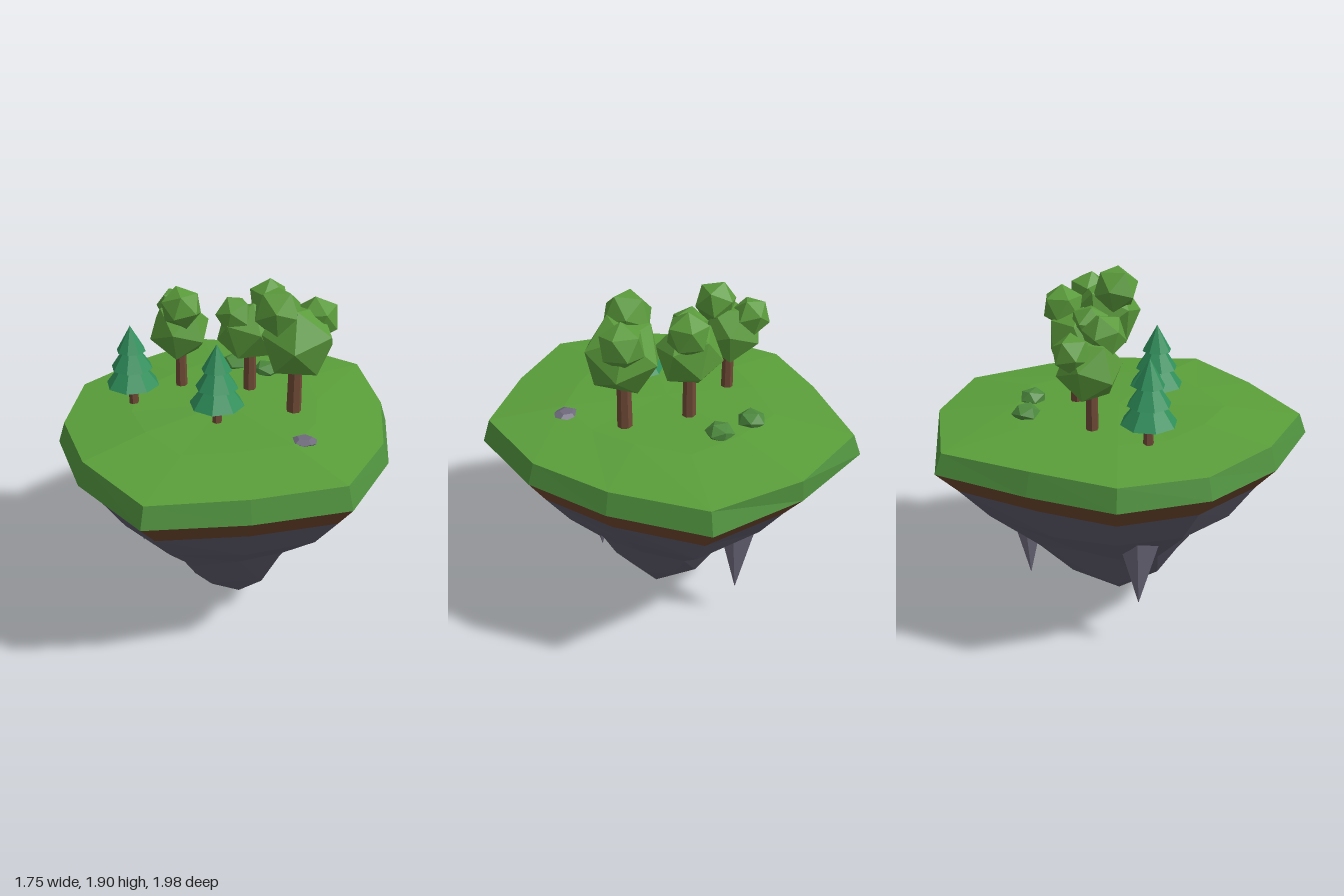
import * as THREE from 'three';

const mat = (name, color) => {
  const m = new THREE.MeshStandardMaterial({ color });
  m.name = name;
  m.flatShading = true;
  return m;
};

export function createModel() {
  const model = new THREE.Group();
  model.name = 'floatingIsland';
  const M = {
    grass: mat('grass', 0x5a9e3a),
    rim: mat('grass edge', 0x4f913e),
    soil: mat('soil', 0x6b442d),
    rock: mat('rock', 0x5a5868),
    stone: mat('pale stone', 0x6e6a7c),
    trunk: mat('bark', 0x6f4a36),
    leaf: mat('leaves', 0x5a9a3b),
    bush: mat('bush', 0x4d8a3e),
    pine: mat('pine needles', 0x2f8f5b),
  };

  const add = (parent, name, geometry, material, x, y, z) => {
    const mesh = new THREE.Mesh(geometry, material);
    mesh.name = name;
    mesh.position.set(x, y, z);
    parent.add(mesh);
    return mesh;
  };
  const group = (name) => {
    const g = new THREE.Group();
    g.name = name;
    model.add(g);
    return g;
  };

  // Irregular twelve-sided outline, shared by every layer of the island
  const radii = [0.90, 0.98, 0.90, 1.012, 0.91, 0.89, 0.90, 0.86, 1.043, 0.975, 1.03, 0.895];
  const N = radii.length;
  const ring = (scale, y, { cx = 0, cz = 0, wobble = 0 } = {}) =>
    radii.map((r, i) => {
      const a = THREE.MathUtils.degToRad(13 + i * 30);
      return new THREE.Vector3(
        cx + Math.cos(a) * r * scale,
        y + wobble * Math.sin(i * 2.4 + y * 9),
        cz + Math.sin(a) * r * scale
      );
    });

  // Joins rings, listed from the top centre outwards and down
  const band = (name, rings, material) => {
    const pos = [];
    const tri = (a, b, c) => {
      if (a.distanceTo(b) < 1e-5 || b.distanceTo(c) < 1e-5 || a.distanceTo(c) < 1e-5) return;
      pos.push(...a.toArray(), ...b.toArray(), ...c.toArray());
    };
    for (let k = 0; k < rings.length - 1; k++) {
      const U = rings[k], L = rings[k + 1];
      for (let i = 0; i < N; i++) {
        const j = (i + 1) % N;
        tri(U[i], U[j], L[i]);
        tri(U[j], L[j], L[i]);
      }
    }
    const g = new THREE.BufferGeometry();
    g.setAttribute('position', new THREE.Float32BufferAttribute(pos, 3));
    g.computeVertexNormals();
    add(model, name, g, material, 0, 0, 0);
  };

  const turfEdge = ring(0.96, 1.195, { wobble: 0.008 });
  turfEdge[9].set(0.228, 1.195, -0.945);
  const turfBase = ring(1, 1.08);
  const soilBase = ring(0.89, 0.95, { cx: 0.012 });
  band('grassTop', [ring(0, 1.247), ring(0.56, 1.236, { wobble: 0.006 }), turfEdge], M.grass);
  band('grassEdge', [turfEdge, turfBase], M.rim);
  band('soilLayer', [turfBase, soilBase], M.soil);
  band('rockUnderside', [
    soilBase,
    ring(0.74, 0.75, { cx: 0.01, wobble: 0.015 }),
    ring(0.48, 0.52, { cx: 0.015, wobble: 0.02 }),
    ring(0.285, 0.245, { cx: 0.035, cz: 0.005, wobble: 0.015 }),
    ring(0, 0, { cx: 0.085, cz: 0.02 }),
  ], M.rock);

  // Hanging rock spikes: tip x, y, z, radius, height
  for (const [x, y, z, r, h] of [
    [-0.49, 0.29, 0.0, 0.125, 0.45],
    [0.06, 0.20, -0.51, 0.11, 0.46],
    [0.478, 0.505, 0.09, 0.06, 0.22],
  ]) {
    const spike = new THREE.ConeGeometry(r, h, 5).rotateX(Math.PI);
    add(model, 'rockSpike', spike, M.stone, x, y + h / 2, z);
  }

  // Broadleaf trees: trunk plus faceted crown lumps (x, y, z, radius)
  const trees = [
    { x: -0.28, z: -0.2, r: 0.033, crown: [
      [-0.285, 1.565, -0.21, 0.17], [-0.255, 1.72, -0.13, 0.115], [-0.325, 1.66, -0.3, 0.105]] },
    { x: 0.10, z: -0.21, r: 0.036, crown: [
      [0.09, 1.585, -0.2, 0.175], [0.19, 1.745, -0.26, 0.115], [0.025, 1.69, -0.15, 0.105]] },
    { x: 0.365, z: 0.0, r: 0.04, crown: [
      [0.37, 1.635, 0.0, 0.205], [0.27, 1.795, 0.04, 0.13], [0.46, 1.735, -0.07, 0.118]] },
  ];
  trees.forEach((t, n) => {
    const g = group('broadleafTree');
    add(g, 'trunk', new THREE.CylinderGeometry(t.r * 0.9, t.r, 0.28, 7), M.trunk, t.x, 1.37, t.z);
    t.crown.forEach(([x, y, z, r], k) => {
      const lump = add(g, 'crown', new THREE.IcosahedronGeometry(r, 0), M.leaf, x, y, z);
      lump.rotation.set(0.4 + k * 0.9, n * 0.8 + k * 1.3, 0.3 * n);
    });
  });

  // Pines: three stacked cones on a short trunk
  for (const [x, z] of [[-0.49, 0.04], [-0.01, 0.2]]) {
    const g = group('pineTree');
    add(g, 'trunk', new THREE.CylinderGeometry(0.023, 0.027, 0.14, 6), M.trunk, x, 1.3, z);
    for (const [base, r, h] of [[1.345, 0.142, 0.19], [1.44, 0.11, 0.165], [1.535, 0.077, 0.137]]) {
      add(g, 'foliageTier', new THREE.ConeGeometry(r, h, 8), M.pine, x, base + h / 2, z);
    }
  }

  // Low bushes and a flat stone lying on the grass
  [[-0.03, -0.505], [0.165, -0.44]].forEach(([x, z], k) => {
    const g = new THREE.IcosahedronGeometry(0.077, 0).rotateX(0.5 + k).rotateY(k).scale(1, 0.68, 1);
    add(model, 'bush', g, M.bush, x, 1.252, z);
  });
  const pebble = new THREE.DodecahedronGeometry(0.066, 0).rotateX(0.4).scale(1, 0.32, 0.9);
  add(model, 'flatStone', pebble, M.stone, 0.45, 1.236, 0.32);

  return model;
}
